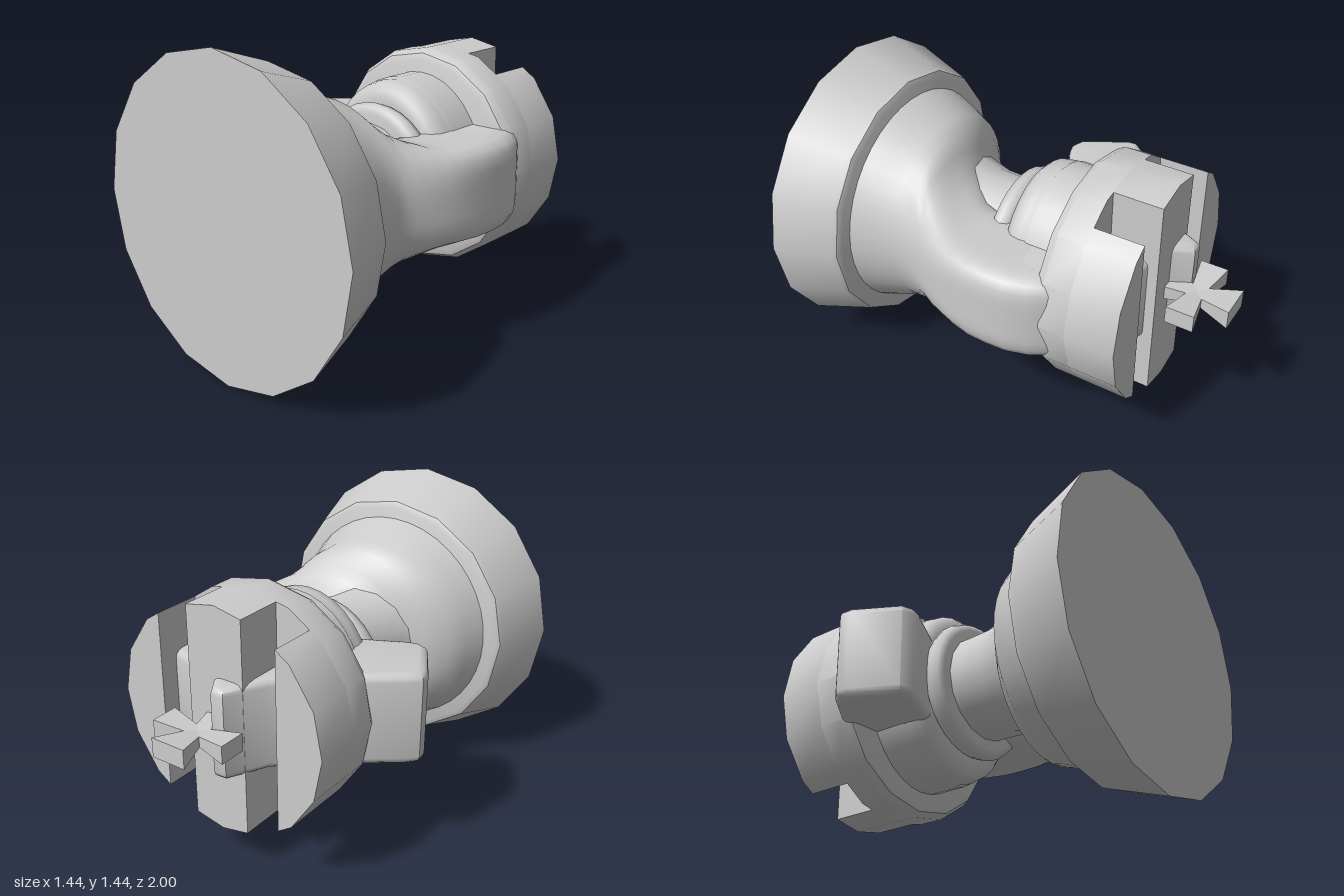
import * as THREE from 'three';
import { toCreasedNormals } from 'three/addons/utils/BufferGeometryUtils.js';

const SIDES = 16;

export function createModel() {
  const stone = new THREE.MeshStandardMaterial({ color: 0xcccccc });
  stone.name = 'paleGrey';

  // The piece is built upright along y, then laid down so its base faces +z.
  const piece = new THREE.Group();
  piece.name = 'chessPiece';
  piece.rotation.x = -Math.PI / 2;
  piece.position.y = 0.725;

  const add = (name, geometry, parent = piece) => {
    const mesh = new THREE.Mesh(geometry, stone);
    mesh.name = name;
    parent.add(mesh);
    return mesh;
  };
  const lathe = (profile, sides = SIDES) =>
    new THREE.LatheGeometry(profile.map(([r, y]) => new THREE.Vector2(r, y)), sides);
  const creased = (geometry, angle = 0.6) => toCreasedNormals(geometry, angle);

  // Flared foot with a flat underside
  add('base', creased(lathe([
    [0, -1], [0.722, -1], [0.632, -0.73], [0.622, -0.703], [0.595, -0.69], [0, -0.69],
  ])));

  // Central column, collar ring and bulb
  add('column', lathe([[0.36, -0.5], [0.29, -0.4], [0.255, -0.27], [0.25, -0.15], [0.25, 0.02]]));
  add('collar', lathe([
    [0.2, -0.1], [0.29, -0.1], [0.32, -0.085], [0.332, -0.05], [0.32, -0.015], [0.29, 0], [0.2, 0],
  ], 32));
  const bulb = add('bulb', lathe([
    [0.2, 0], [0.33, 0], [0.38, 0.012], [0.41, 0.045], [0.418, 0.09],
    [0.415, 0.12], [0.424, 0.13], [0.424, 0.3],
  ], 32));
  bulb.scale.x = 0.86;

  // Curved neck: rows of [height, left x, right x, half depth, squareness]
  add('neck', loft([
    [-0.70, -0.54, 0.54, 0.54, 2],
    [-0.60, -0.50, 0.505, 0.505, 2],
    [-0.50, -0.45, 0.472, 0.465, 2],
    [-0.43, -0.35, 0.462, 0.435, 2.1],
    [-0.385, -0.23, 0.47, 0.365, 2.3],
    [-0.34, -0.12, 0.488, 0.305, 2.6],
    [-0.27, -0.02, 0.52, 0.262, 3.2],
    [-0.19, 0.08, 0.55, 0.23, 4],
    [-0.12, 0.12, 0.57, 0.22, 5],
    [-0.02, 0.14, 0.589, 0.217, 6],
    [0.08, 0.14, 0.594, 0.217, 6],
    [0.18, 0.12, 0.59, 0.217, 6],
    [0.28, 0.07, 0.562, 0.217, 6],
    [0.36, 0.0, 0.515, 0.217, 6],
    [0.44, 0.0, 0.45, 0.217, 6],
  ]));

  // Thick head with snout, jaw, ear and crest
  const outline = new THREE.Shape([
    [-0.56, -0.085], [-0.5, -0.105], [-0.45, -0.09], [-0.25, 0.01], [0.1, 0.1], [0.45, 0.15],
    [0.5, 0.36], [0.42, 0.51], [0.31, 0.6], [0.16, 0.64], [0.03, 0.67],
    [-0.04, 0.775], [-0.1, 0.77], [-0.19, 0.585], [-0.3, 0.48],
    [-0.5, 0.325], [-0.64, 0.22], [-0.685, 0.17], [-0.68, 0.12],
  ].map(([x, y]) => new THREE.Vector2(x, y)));
  const bevel = 0.035, depth = 0.434;
  const head = new THREE.ExtrudeGeometry(outline, {
    depth: depth - 2 * bevel, bevelThickness: bevel, bevelSize: bevel,
    bevelOffset: -bevel, bevelSegments: 3,
  });
  head.translate(0, 0, bevel - depth / 2);
  add('head', creased(head, 0.75));

  // Crown: solid drum with three merlons left between two straight slots
  const crown = new THREE.Group();
  crown.name = 'crown';
  piece.add(crown);
  const R = 0.537;
  add('crownDrum', creased(lathe([
    [0, 0.28], [0.485, 0.28], [0.515, 0.292], [R, 0.33], [R, 0.46], [0, 0.46],
  ])), crown);
  for (const [name, a, b] of [
    ['rightMerlon', -R, -0.31], ['middleMerlon', -0.14, 0.15], ['leftMerlon', 0.31, R],
  ]) {
    const geometry = new THREE.ExtrudeGeometry(discSlice(R, a, b), {
      depth: 0.235, bevelEnabled: false,
    });
    geometry.rotateX(-Math.PI / 2).translate(0, 0.455, 0);
    add(name, creased(geometry), crown);
  }

  // Cross finial: four flared arms meeting at a hub
  const cross = new THREE.Group();
  cross.name = 'cross';
  cross.position.y = 0.82;
  piece.add(cross);
  const arms = [
    ['topArm', 0, 0.18, 0.085, 0.045],
    ['leftArm', -Math.PI / 2, 0.186, 0.066, 0.042],
    ['rightArm', Math.PI / 2, 0.186, 0.066, 0.042],
    ['bottomArm', Math.PI, 0.14, 0.062, 0.035],
  ];
  for (const [name, angle, length, w, d] of arms) {
    const arm = add(name, flaredArm(length, w, d), cross);
    arm.rotation.z = angle;
  }

  const model = new THREE.Group();
  model.name = 'model';
  model.add(piece);
  return model;
}

// Slice of a regular polygon between x = a and x = b
function discSlice(r, a, b) {
  const corners = Array.from({ length: SIDES / 2 + 1 }, (_, i) => {
    const t = Math.PI - (i * 2 * Math.PI) / SIDES;
    return [r * Math.cos(t), r * Math.sin(t)];
  });
  const edge = (x) => {
    for (let i = 0; i < corners.length - 1; i++) {
      const [x0, y0] = corners[i], [x1, y1] = corners[i + 1];
      if (x >= x0 - 1e-6 && x <= x1 + 1e-6) return y0 + ((y1 - y0) * (x - x0)) / (x1 - x0);
    }
    return 0;
  };
  const xs = [a, ...corners.map((c) => c[0]).filter((x) => x > a + 1e-4 && x < b - 1e-4), b];
  const points = xs.map((x) => new THREE.Vector2(x, -edge(x)));
  for (const x of xs.reverse()) {
    if (edge(x) > 1e-4) points.push(new THREE.Vector2(x, edge(x)));
  }
  return new THREE.Shape(points);
}

// Box pinched towards its lower end
function flaredArm(length, w, d) {
  const geometry = new THREE.BoxGeometry(2, length, 2).translate(0, length / 2, 0);
  const p = geometry.attributes.position;
  for (let i = 0; i < p.count; i++) {
    const outer = p.getY(i) > length / 2;
    p.setX(i, p.getX(i) * (outer ? w : 0.03));
    p.setZ(i, p.getZ(i) * (outer ? d : 0.02));
  }
  geometry.computeVertexNormals();
  return geometry;
}

// Skin over rounded-square sections stacked along y
function loft(rows, n = 40) {
  const positions = [], index = [];
  rows.forEach(([y, left, right, depth, power], i) => {
    const cx = (left + right) / 2, half = (right - left) / 2;
    for (let j = 0; j < n; j++) {
      const t = (j / n) * Math.PI * 2, c = Math.cos(t), s = Math.sin(t);
      const k = (Math.abs(c) ** power + Math.abs(s) ** power) ** (-1 / power);
      positions.push(cx + half * c * k, y, depth * s * k);
      if (i < rows.length - 1) {
        const a = i * n + j, b = i * n + ((j + 1) % n);
        index.push(a, a + n, b, b, a + n, b + n);
      }
    }
  });
  const geometry = new THREE.BufferGeometry();
  geometry.setAttribute('position', new THREE.Float32BufferAttribute(positions, 3));
  geometry.setIndex(index);
  geometry.computeVertexNormals();
  return geometry;
}
